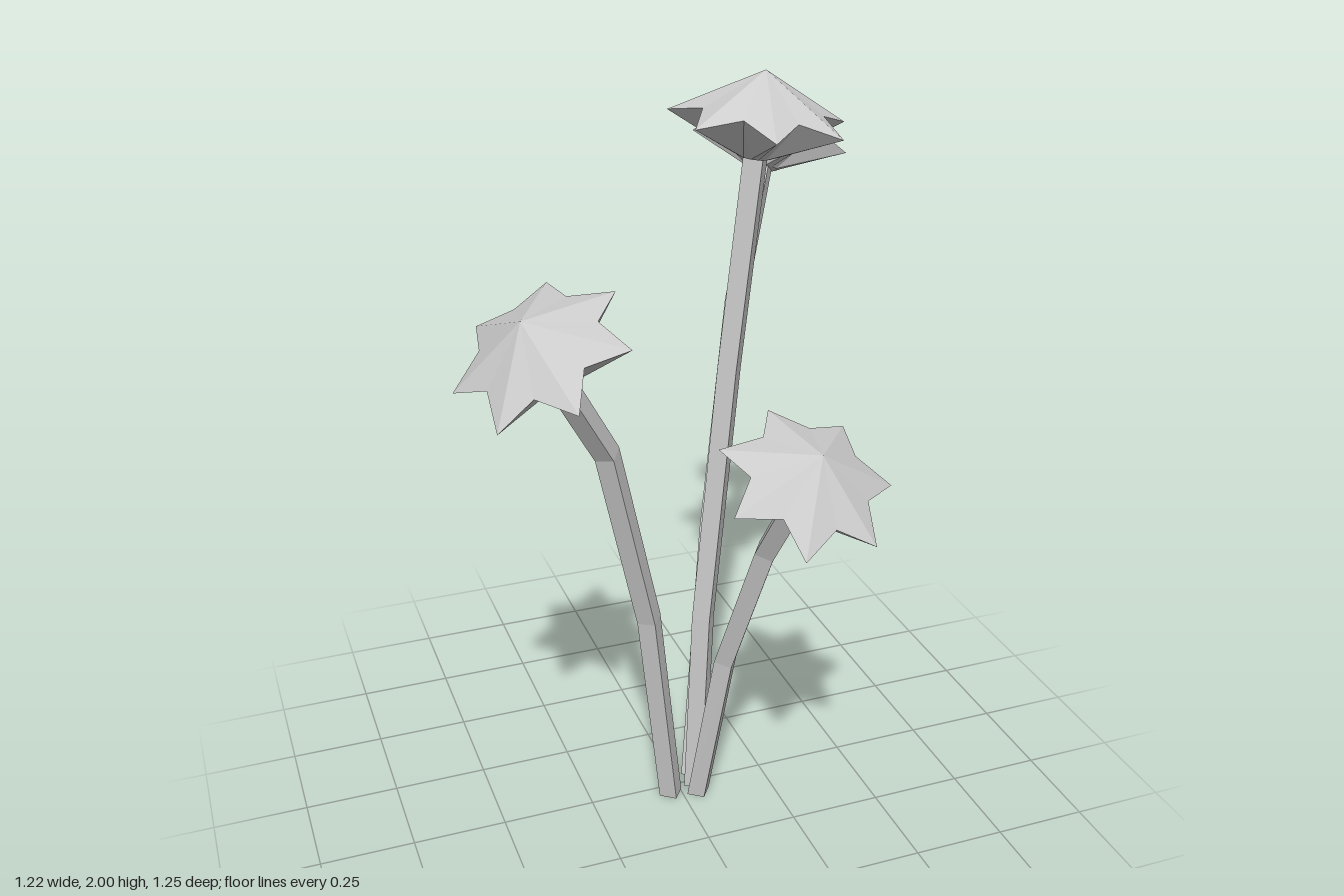
import * as THREE from 'three';

const UP = new THREE.Vector3(0, 1, 0);

// Bottom-to-top stem points and the azimuth (degrees) of the first petal tip
const FLOWERS = [
  { name: 'tallFlower', turn: 0, path: [[0.05, 0, 0.01], [0.068, 0.55, 0.018], [0.125, 1.27, 0.036], [0.175, 1.8, 0.055]] },
  { name: 'backFlower', turn: 19, path: [[0.06, 0, -0.042], [0.14, 0.73, -0.12], [0.265, 1.32, -0.27], [0.385, 1.64, -0.4]] },
  { name: 'rightFlower', turn: -14, path: [[-0.03, 0, 0.03], [-0.11, 0.62, 0.09], [-0.24, 1.15, 0.175], [-0.38, 1.4, 0.265]] },
  { name: 'frontFlower', turn: 6, path: [[0.045, 0, 0.05], [0.08, 0.49, 0.15], [0.125, 0.88, 0.295], [0.145, 1.06, 0.405]] },
];

// Separate the faces so that each one is shaded flat
function faceted(geometry) {
  const flat = geometry.index ? geometry.toNonIndexed() : geometry;
  flat.computeVertexNormals();
  return flat;
}

// Four-sided stem: a cylinder whose rings are moved onto the path
function stemGeometry(points) {
  const last = points.length - 1;
  const geometry = new THREE.CylinderGeometry(0.034, 0.034, 1, 4, last, false, 0.15);
  const pos = geometry.attributes.position;
  const frames = points.map((p, i) => {
    const dir = points[Math.min(i + 1, last)].clone().sub(points[Math.max(i - 1, 0)]).normalize();
    return new THREE.Quaternion().setFromUnitVectors(UP, i === 0 ? UP : dir);
  });
  const v = new THREE.Vector3();
  for (let i = 0; i < pos.count; i++) {
    const ring = Math.round((pos.getY(i) + 0.5) * last);
    v.set(pos.getX(i), 0, pos.getZ(i)).applyQuaternion(frames[ring]).add(points[ring]);
    pos.setXYZ(i, v.x, v.y, v.z);
  }
  return faceted(geometry);
}

// Seven-pointed head: a drooping star roof over a keeled underside
function headGeometry(turn) {
  const tips = 7, sides = tips * 2, verts = [];
  const start = THREE.MathUtils.degToRad(turn);
  const at = (k, r, y) => {
    const a = start + (k / sides) * Math.PI * 2;
    return [r * Math.cos(a), y, r * Math.sin(a)];
  };
  const rim = k => (k % 2 ? at(k, 0.145, 0.11) : at(k, 0.217, 0.083));
  const neck = k => at(k, 0.042, 0);
  for (let k = 0; k < sides; k++) {
    verts.push([0, 0.2, 0], rim(k + 1), rim(k));
    verts.push(rim(k), rim(k + 1), neck(k + 1), rim(k), neck(k + 1), neck(k));
    verts.push(neck(k), neck(k + 1), [0, 0, 0]);
  }
  const geometry = new THREE.BufferGeometry();
  geometry.setAttribute('position', new THREE.Float32BufferAttribute(verts.flat(), 3));
  return faceted(geometry);
}

export function createModel() {
  const grey = new THREE.MeshStandardMaterial({ color: 0xcccccc });
  grey.name = 'pale grey';
  const model = new THREE.Group();
  model.name = 'flowerCluster';

  for (const { name, turn, path } of FLOWERS) {
    const flower = new THREE.Group();
    flower.name = name;
    const points = path.map(p => new THREE.Vector3(...p));

    const stem = new THREE.Mesh(stemGeometry(points), grey);
    stem.name = 'stem';

    // The head follows the direction of the last stem section
    const head = new THREE.Mesh(headGeometry(turn), grey);
    head.name = 'flowerHead';
    const end = points[points.length - 1];
    const dir = end.clone().sub(points[points.length - 2]).normalize();
    head.position.copy(end);
    head.quaternion.setFromUnitVectors(UP, dir);

    flower.add(stem, head);
    model.add(flower);
  }
  return model;
}
